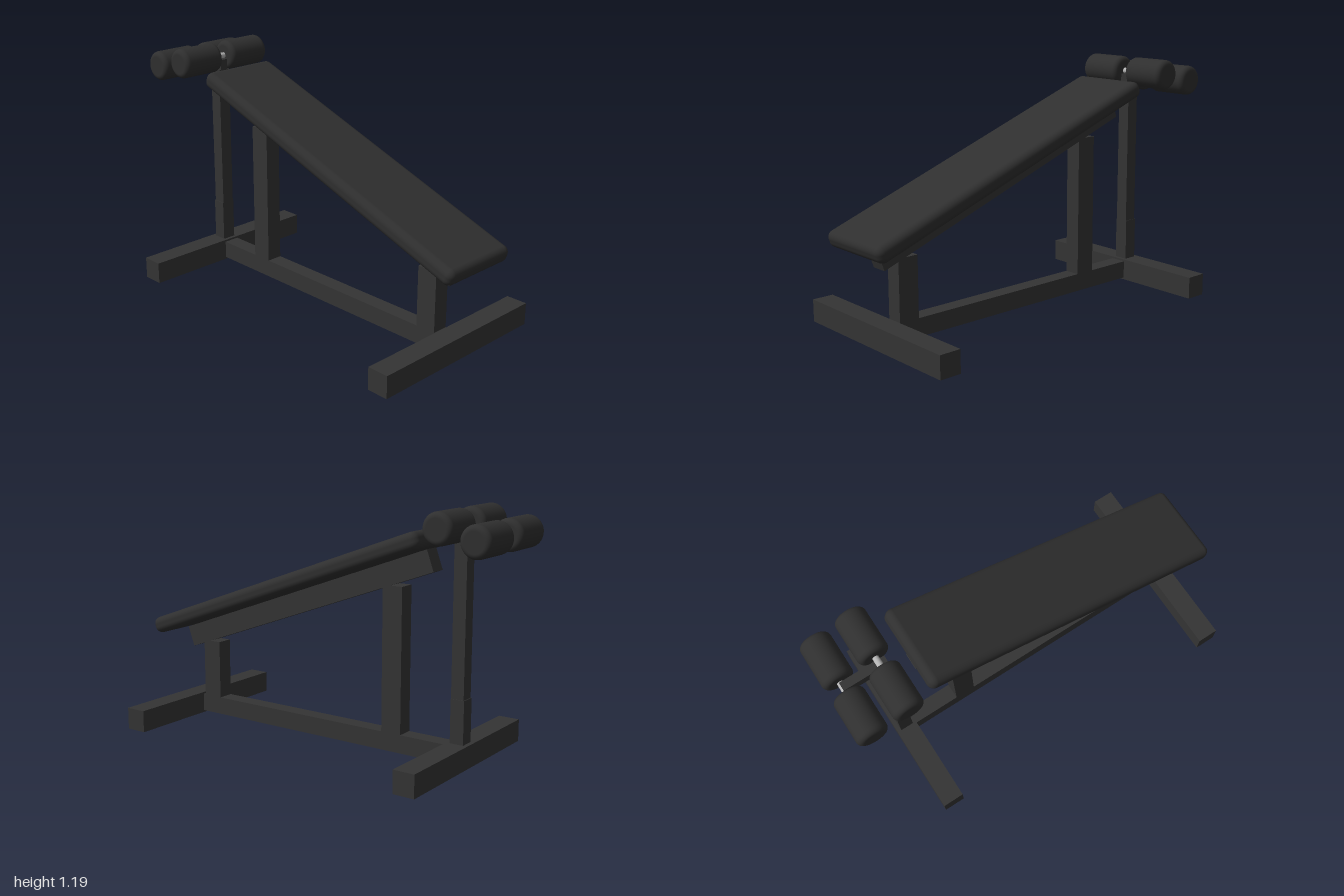
import * as THREE from 'three';
import { RoundedBoxGeometry } from 'three/addons/geometries/RoundedBoxGeometry.js';

const PITCH = THREE.MathUtils.degToRad(20);

export function createModel() {
  const model = new THREE.Group();
  model.name = 'inclineBench';

  const frame = new THREE.MeshStandardMaterial({ name: 'charcoal frame', color: 0x343434 });
  const padding = new THREE.MeshStandardMaterial({ name: 'black padding', color: 0x2f2f2f });
  const steel = new THREE.MeshStandardMaterial({ name: 'bare steel', color: 0xb4b4b4 });

  function add(name, geometry, material, x, y, z) {
    const mesh = new THREE.Mesh(geometry, material);
    mesh.name = name;
    mesh.position.set(x, y, z);
    model.add(mesh);
    return mesh;
  }

  // Square tube given by its width and its y and z ranges
  function tube(name, width, y0, y1, z0, z1) {
    return add(name, new THREE.BoxGeometry(width, y1 - y0, z1 - z0), frame, 0, (y0 + y1) / 2, (z0 + z1) / 2);
  }

  // Floor frame
  tube('frontFoot', 0.98, 0, 0.11, 0.8, 0.908);
  tube('rearFoot', 0.98, 0, 0.11, -0.795, -0.687);
  tube('floorRail', 0.082, 0.01, 0.1, -0.69, 0.802);

  // Uprights
  tube('frontPost', 0.082, 0.1, 0.4, 0.68, 0.785);
  tube('middlePost', 0.082, 0.1, 0.808, -0.442, -0.336);
  tube('rollerPost', 0.065, 0.1, 1.05, -0.77, -0.705);
  tube('rollerPostSleeve', 0.071, 0.1, 0.32, -0.774, -0.705);

  // Inclined beam and pad
  const beam = add('padBeam', new THREE.BoxGeometry(0.082, 0.107, 1.56), frame, 0, 0.675, 0.145);
  beam.rotation.x = PITCH;
  const pad = add('benchPad', new RoundedBoxGeometry(0.416, 0.083, 1.707, 5, 0.034), padding, 0, 0.764, 0.192);
  pad.rotation.x = PITCH;

  // Arm carrying the rear roller axle
  tube('rollerArm', 0.042, 1.048, 1.102, -0.93, -0.705);

  // Foam roller profile with rounded rims
  const R = 0.075, HALF = 0.117, RIM = 0.026;
  const profile = [new THREE.Vector2(0, -HALF)];
  for (const side of [-1, 1]) {
    for (let i = 0; i <= 6; i++) {
      const a = (side < 0 ? -1 + i / 6 : i / 6) * Math.PI / 2;
      profile.push(new THREE.Vector2(R - RIM + RIM * Math.cos(a), side * (HALF - RIM) + RIM * Math.sin(a)));
    }
  }
  profile.push(new THREE.Vector2(0, HALF));
  const rollerGeometry = new THREE.LatheGeometry(profile, 40).rotateZ(Math.PI / 2);
  const axleGeometry = new THREE.CylinderGeometry(0.015, 0.015, 0.3, 20).rotateZ(Math.PI / 2);

  // Two axles, each with a pair of rollers
  for (const [label, y, z] of [['front', 1.114, -0.742], ['rear', 1.072, -0.925]]) {
    add(label + 'Axle', axleGeometry, steel, 0, y, z);
    add(label + 'LeftRoller', rollerGeometry, padding, 0.147, y, z);
    add(label + 'RightRoller', rollerGeometry, padding, -0.147, y, z);
  }

  return model;
}
